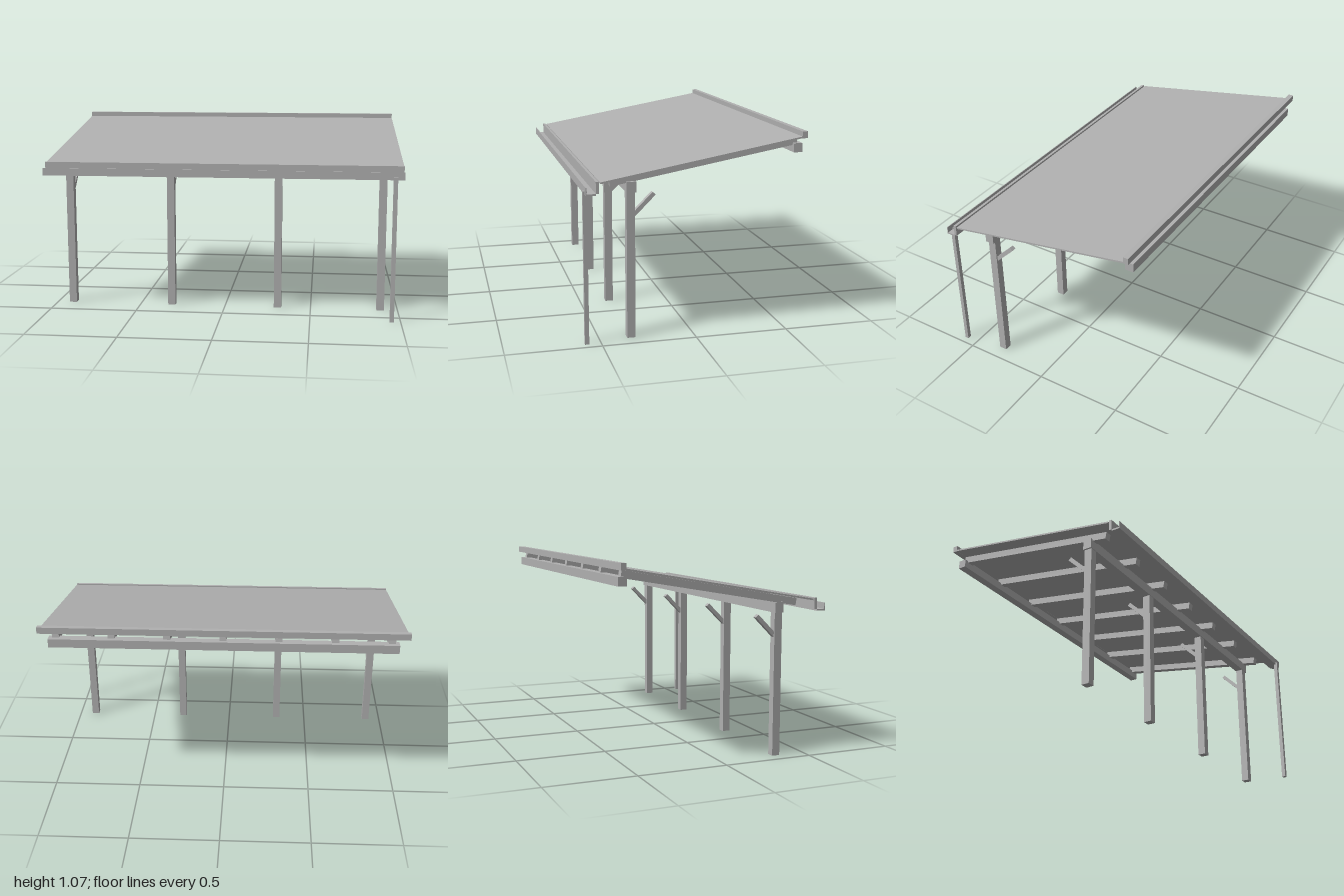
import * as THREE from 'three';

export function createModel() {
  const model = new THREE.Group();
  model.name = 'leanToShelter';
  const grey = new THREE.MeshStandardMaterial({ color: 0xb0b0b0 });
  grey.name = 'plain grey';
  const PITCH = THREE.MathUtils.degToRad(10);

  // Box given by its centre x, width, and its y and z ranges
  function box(name, x, w, y0, y1, z0, z1) {
    const mesh = new THREE.Mesh(new THREE.BoxGeometry(w, y1 - y0, z1 - z0), grey);
    mesh.position.set(x, (y0 + y1) / 2, (z0 + z1) / 2);
    mesh.name = name;
    model.add(mesh);
  }

  // Box running front to back along the roof pitch
  function sloped(name, x, y, z, w, depth, length) {
    const mesh = new THREE.Mesh(new THREE.BoxGeometry(w, depth, length), grey);
    mesh.position.set(x, y, z);
    mesh.rotation.x = PITCH;
    mesh.name = name;
    model.add(mesh);
  }

  // Diagonal brace profile in (z, y), cut flush against the post
  const BRACE = 0.028;
  const profile = new THREE.Shape([
    [0.31, 0.65], [0.31, 0.681], [0.216, 0.775], [0.2, 0.76],
  ].map(([z, y]) => new THREE.Vector2(z, y)));
  const braceGeometry = new THREE.ExtrudeGeometry(profile, { depth: BRACE, bevelEnabled: false });
  braceGeometry.translate(0, 0, -BRACE / 2).rotateY(-Math.PI / 2);

  // Posts with braces
  for (const x of [-0.909, -0.315, 0.308, 0.901]) {
    box('post', x, 0.043, 0, 0.783, 0.31, 0.354);
    const brace = new THREE.Mesh(braceGeometry, grey);
    brace.position.x = x;
    brace.name = 'brace';
    model.add(brace);
  }

  // Beams carrying the rafters
  box('frontBeam', 0, 1.88, 0.782, 0.838, 0.307, 0.357);
  box('wallBeam', 0, 1.89, 0.951, 0.999, -0.581, -0.534);

  // Rafters
  for (let i = -3; i <= 3; i++) sloped('rafter', i * 0.302, 0.923, -0.0575, 0.038, 0.039, 1.014);

  // Roof sheet and the flashing along its upper edge
  sloped('roofSheet', 0, 0.945, -0.029, 2, 0.009, 1.08);
  box('wallFlashing', 0, 2, 1.033, 1.069, -0.584, -0.556);

  // Gutter: back board, floor and thin front lip
  box('gutterBack', 0, 2, 0.799, 0.86, 0.51, 0.525);
  box('gutterFloor', 0, 2, 0.79, 0.799, 0.525, 0.575);
  box('gutterLip', 0, 2, 0.79, 0.832, 0.571, 0.576);

  // Downpipe
  box('downpipe', 0.951, 0.023, 0, 0.807, 0.563, 0.585);

  return model;
}
